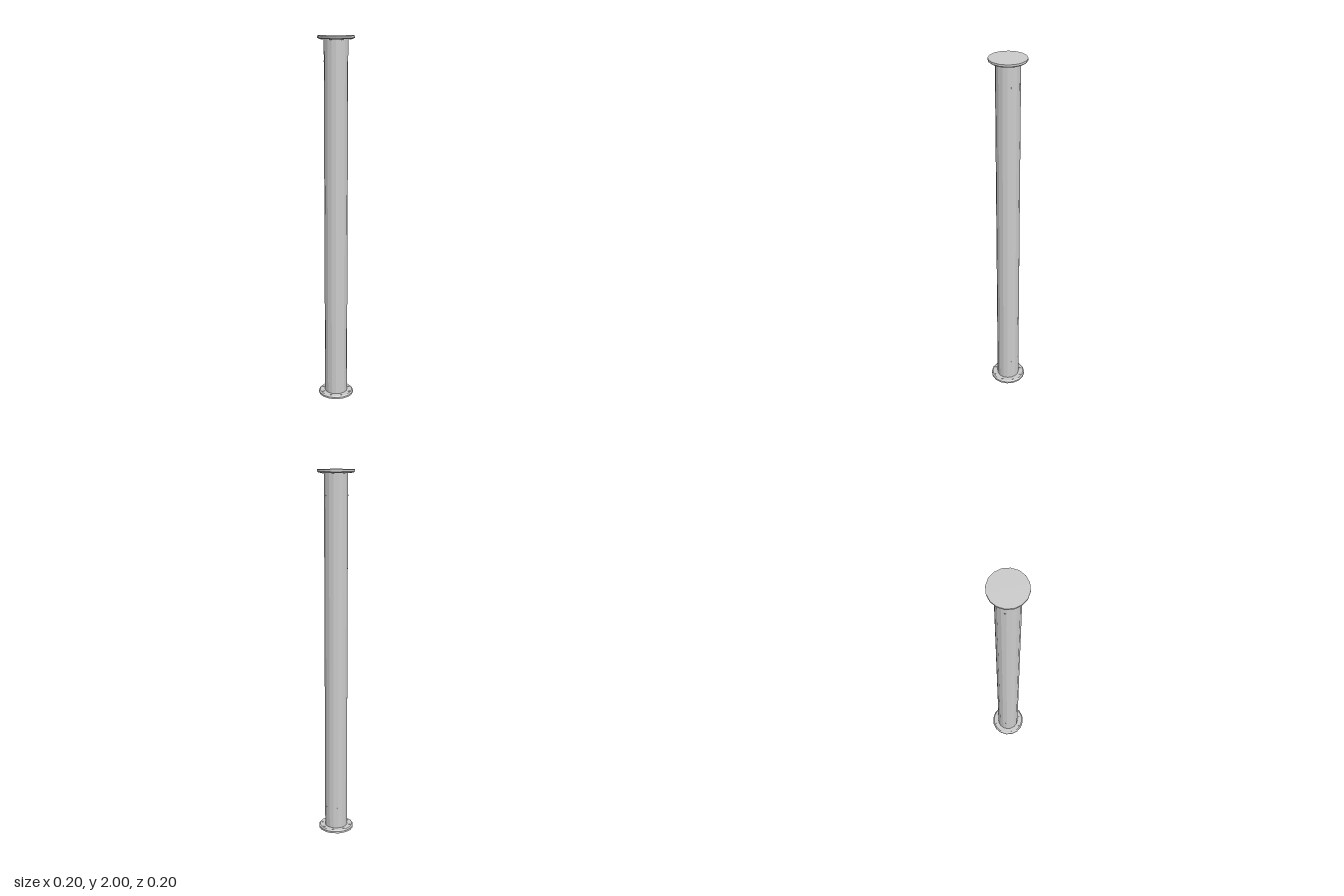
import * as THREE from 'three';

const SIDES = 16;
const material = new THREE.MeshStandardMaterial({ color: 0xcccccc, flatShading: true });

function addMesh(parent, name, geometry, x = 0, y = 0, z = 0) {
  const mesh = new THREE.Mesh(geometry, material);
  mesh.name = name;
  mesh.position.set(x, y, z);
  parent.add(mesh);
  return mesh;
}

// Round end plate with a chamfered inner rim and a ring of low bolts
function createFlange(name) {
  const flange = new THREE.Group();
  flange.name = name;
  const profile = [[0, 0], [0.098, 0], [0.098, 0.01], [0.091, 0.016], [0, 0.016]]
    .map(([r, y]) => new THREE.Vector2(r, y));
  addMesh(flange, 'plate', new THREE.LatheGeometry(profile, SIDES));
  const bolt = new THREE.CylinderGeometry(0.006, 0.006, 0.004, 6);
  for (let i = 0; i < 8; i++) {
    const a = (i + 0.5) * Math.PI / 4;
    addMesh(flange, 'flangeBolt', bolt, 0.079 * Math.cos(a), 0.017, 0.079 * Math.sin(a));
  }
  return flange;
}

export function createModel() {
  const model = new THREE.Group();
  model.name = 'flangedColumn';

  // Shaft
  addMesh(model, 'shaft', new THREE.CylinderGeometry(0.063, 0.063, 1.97, SIDES, 1, true), 0, 1, 0);

  // Matching plates at both ends
  const base = createFlange('baseFlange');
  const top = createFlange('topFlange');
  top.rotation.x = Math.PI;
  top.position.y = 2;
  model.add(base, top);

  // Small screws around the shaft near each end
  const screw = new THREE.CylinderGeometry(0.004, 0.004, 0.004, 8).rotateX(Math.PI / 2);
  for (const y of [0.135, 1.87]) {
    for (const degrees of [25, 140, 230, 318]) {
      const a = THREE.MathUtils.degToRad(degrees);
      const mesh = addMesh(model, 'shaftScrew', screw, 0.062 * Math.cos(a), y, 0.062 * Math.sin(a));
      mesh.rotation.y = Math.PI / 2 - a;
    }
  }
  return model;
}
